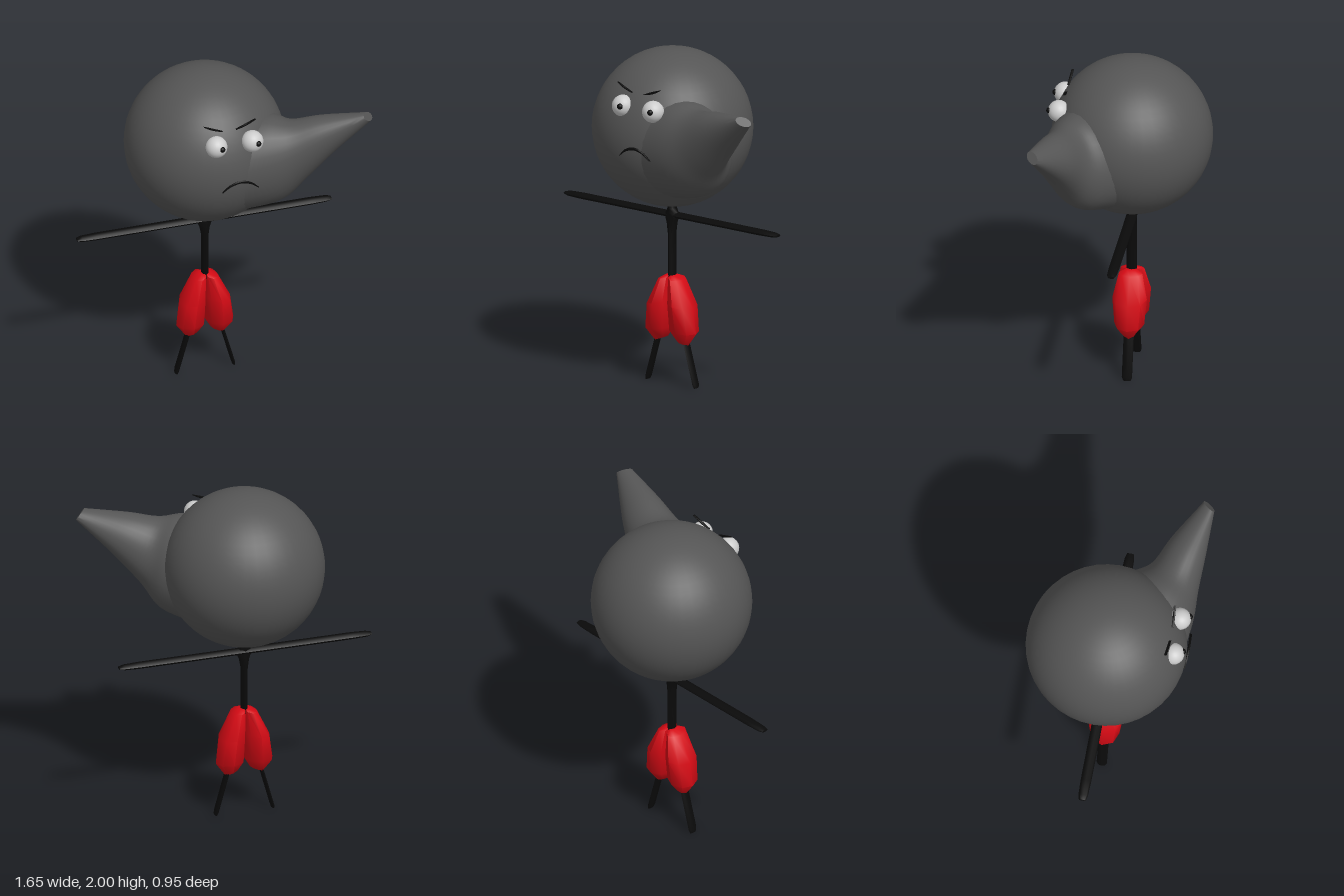
import * as THREE from 'three';
import { toCreasedNormals } from 'three/addons/utils/BufferGeometryUtils.js';

const v = (x, y, z) => new THREE.Vector3(x, y, z);
const mat = (color) => new THREE.MeshStandardMaterial({ color });
const MID = -0.05; // symmetry line of the body

// Capped skin over elliptic rings: c = centre, u and w = half axes (u x w points along the loft)
function loft(rings, sides, crease = 0.9) {
  const pos = [], idx = [];
  rings.forEach(({ c, u, w }) => {
    for (let j = 0; j < sides; j++) {
      const a = (j / sides) * Math.PI * 2;
      const p = c.clone().addScaledVector(u, Math.cos(a)).addScaledVector(w, Math.sin(a));
      pos.push(p.x, p.y, p.z);
    }
  });
  const last = rings.length - 1, s = rings.length * sides;
  pos.push(...rings[0].c.toArray(), ...rings[last].c.toArray());
  for (let j = 0; j < sides; j++) {
    const k = (j + 1) % sides;
    for (let i = 0; i < last; i++) {
      const a = i * sides + j, b = i * sides + k;
      idx.push(a, b, a + sides, b, b + sides, a + sides);
    }
    idx.push(s, k, j, s + 1, last * sides + j, last * sides + k);
  }
  const g = new THREE.BufferGeometry();
  g.setAttribute('position', new THREE.Float32BufferAttribute(pos, 3));
  g.setIndex(idx);
  return toCreasedNormals(g, crease);
}

// Refine a few key rings into a smooth series
function smoothRings(keys, count) {
  const [c, u, w] = ['c', 'u', 'w'].map((k) => new THREE.CatmullRomCurve3(keys.map((r) => r[k]), false, 'catmullrom').getPoints(count));
  return c.map((p, i) => ({ c: p, u: u[i], w: w[i] }));
}

// Thin stroke, widest in the middle, running along a curve in the face plane
function stroke(points, width, depth) {
  const curve = new THREE.CatmullRomCurve3(points);
  const rings = [];
  for (let i = 0; i <= 12; i++) {
    const t = i / 12, d = curve.getTangent(t);
    const h = width * (0.15 + 0.85 * Math.sin(Math.PI * t));
    rings.push({ c: curve.getPoint(t), u: v(-d.y, d.x, 0).normalize().multiplyScalar(h), w: v(0, 0, depth) });
  }
  return loft(rings, 6);
}

export function createModel() {
  const model = new THREE.Group();
  const grey = mat(0x555555), black = mat(0x0a0a0a), red = mat(0xd40a14), white = mat(0xcccccc);
  const add = (name, geo, material, parent = model) => {
    const m = new THREE.Mesh(geo, material);
    m.name = name;
    parent.add(m);
    return m;
  };

  // Head: ball with a long spout pulled out to its left and front
  const head = new THREE.Group();
  head.name = 'head';
  model.add(head);
  add('headBall', new THREE.SphereGeometry(0.465, 40, 28), grey, head).position.set(MID, 1.535, -0.008);
  const spout = [
    { c: v(0.12, 1.48, 0.17), u: v(-0.06, 0.3, 0), w: v(-0.2, 0, 0.25) },
    { c: v(0.3, 1.52, 0.255), u: v(-0.06, 0.27, 0), w: v(-0.12, 0, 0.2) },
    { c: v(0.42, 1.585, 0.31), u: v(-0.06, 0.185, 0), w: v(-0.06, 0, 0.145) },
    { c: v(0.58, 1.69, 0.36), u: v(-0.055, 0.11, 0), w: v(-0.04, 0, 0.105) },
    { c: v(0.795, 1.803, 0.437), u: v(-0.025, 0.027, 0.005), w: v(-0.022, 0, 0.035) },
  ];
  add('spout', loft(smoothRings(spout, 24), 28, 0.8), grey, head);

  // Face: eyes, brows and a frowning mouth
  const face = new THREE.Group();
  face.name = 'face';
  model.add(face);
  for (const [side, x] of [['right', -0.105], ['left', 0.112]]) {
    add(side + 'Eye', new THREE.SphereGeometry(0.064, 24, 16), white, face).position.set(x, 1.738, 0.393);
    add(side + 'Pupil', new THREE.SphereGeometry(0.018, 14, 10), black, face).position.set(x + 0.019, 1.748, 0.446);
  }
  add('rightBrow', stroke([v(-0.168, 1.862, 0.358), v(-0.115, 1.838, 0.362), v(-0.058, 1.818, 0.366)], 0.007, 0.008), black, face);
  add('leftBrow', stroke([v(0.022, 1.818, 0.366), v(0.085, 1.838, 0.362), v(0.142, 1.862, 0.358)], 0.007, 0.008), black, face);
  add('mouth', stroke([v(-0.086, 1.458, 0.45), v(-0.04, 1.497, 0.457), v(0.025, 1.516, 0.46), v(0.085, 1.497, 0.457), v(0.132, 1.458, 0.452)], 0.009, 0.008), black, face);

  // Torso, flared where the arms join
  const torso = [[0.62, 0.021], [0.9, 0.021], [0.96, 0.032], [0.99, 0.045], [1.02, 0.045], [1.05, 0.024], [1.1, 0.022]];
  add('torso', loft(torso.map(([y, r]) => ({ c: v(MID, y, -0.004), u: v(0, 0, 0.031), w: v(r, 0, 0) })), 8), black);

  // Arms: one straight bar with tapered ends
  const arms = [[-0.82, 0.4], [-0.79, 0.8], [-0.7, 1], [0.59, 1], [0.68, 0.8], [0.712, 0.4]];
  add('arms', loft(arms.map(([x, k]) => ({ c: v(x, 1.008, -0.008), u: v(0, 0.018 * k, 0), w: v(0, 0, 0.031 * Math.sqrt(k)) })), 8), black);

  // Legs and shorts, mirrored: ring = outer offset, y, inner offset, y, half depth
  const shorts = [
    [0.035, 0.65, -0.005, 0.65, 0.03],
    [0.075, 0.627, -0.005, 0.64, 0.068],
    [0.152, 0.47, -0.005, 0.5, 0.101],
    [0.172, 0.32, 0, 0.335, 0.087],
    [0.117, 0.243, 0.035, 0.275, 0.035],
  ];
  for (const [side, s] of [['right', -1], ['left', 1]]) {
    const rings = shorts.map(([ox, oy, ix, iy, d]) => ({
      c: v(MID + (s * (ox + ix)) / 2, (oy + iy) / 2, -0.004),
      u: v((s * (ox - ix)) / 2, (oy - iy) / 2, 0),
      w: v(0, 0, s * d),
    }));
    add(side + 'Shorts', loft(rings, 8, 1.0), red);
    const leg = [[0.085, 0.32, 1], [0.169, 0.02, 1], [0.173, 0, 0.75]];
    add(side + 'Leg', loft(leg.map(([x, y, k]) => ({ c: v(MID + s * x, y, -0.004), u: v(0.011 * k, 0, 0), w: v(0, 0, 0.03 * k) })), 8), black);
  }
  return model;
}
